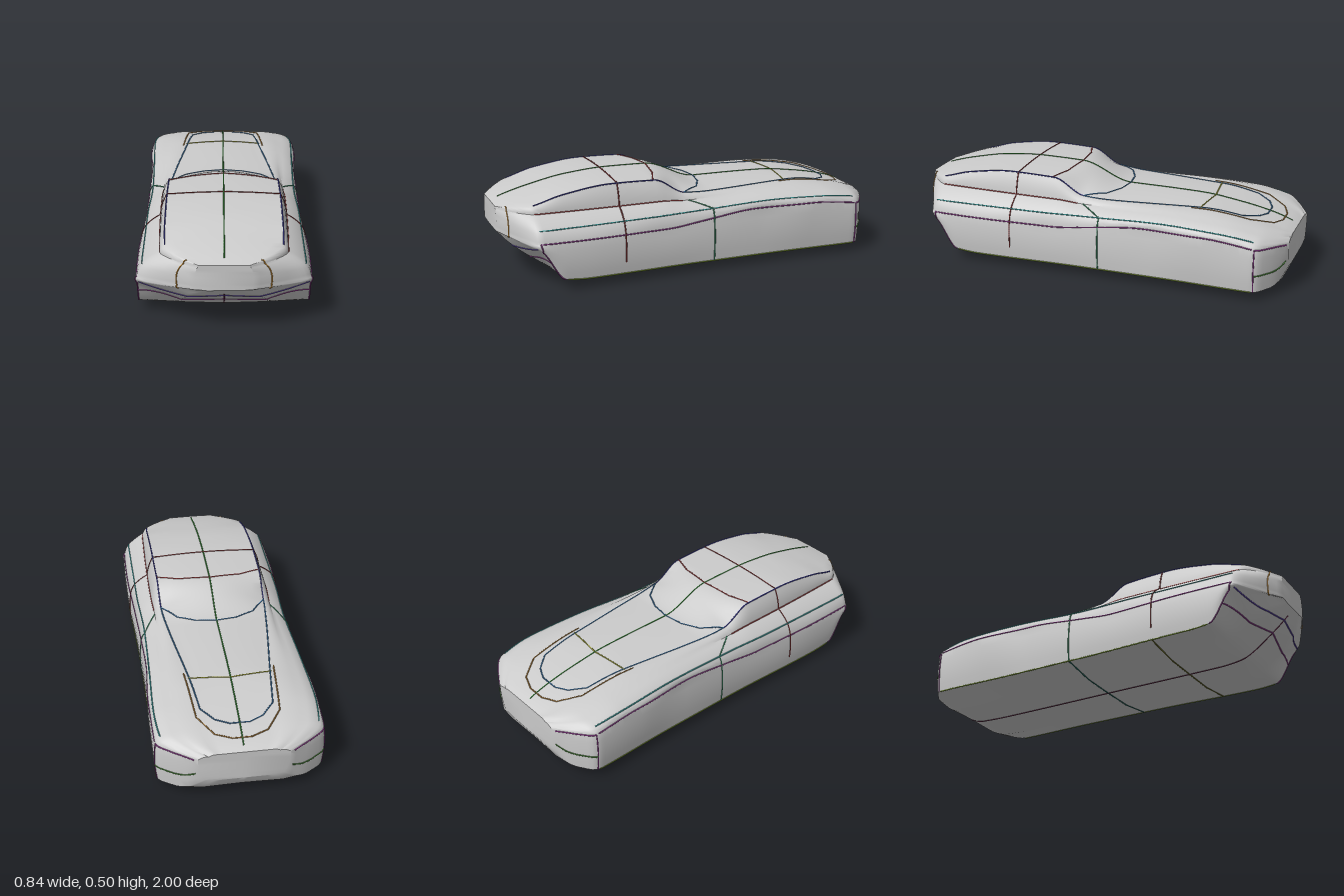
import * as THREE from 'three';
import { toCreasedNormals } from 'three/addons/utils/BufferGeometryUtils.js';

// Lengthwise rails of the left half, nose (-z) to tail (+z), as [z, x, y]
const floorCentre = [[-1, 0, .12], [-.96, 0, .05], [-.87, 0, .02], [-.7, 0, .015], [0, 0, .02], [.6, 0, .025],
  [.72, 0, .04], [.85, 0, .12], [.95, 0, .2], [1, 0, .25]];
const floorMid = [[-1, .13, .12], [-.96, .2, .045], [-.85, .2, .005], [-.75, .2, 0], [-.4, .2, .02], [.6, .2, .025],
  [.72, .2, .045], [.85, .2, .125], [.95, .15, .2], [1, .08, .25]];
const sill = [[-1, .19, .13], [-.96, .28, .06], [-.93, .33, .05], [-.875, .4, .05], [-.85, .405, .05], [-.4, .395, .05],
  [0, .395, .05], [.6, .41, .05], [.73, .41, .06], [.84, .408, .21], [.86, .4, .225], [.92, .29, .235], [1, .12, .255]];
const belt = [[-1, .22, .25], [-.96, .29, .26], [-.93, .34, .265], [-.875, .403, .27], [-.85, .408, .275], [-.6, .41, .3],
  [-.3, .392, .3], [0, .395, .27], [.2, .4, .25], [.6, .415, .25], [.84, .41, .25], [.86, .403, .25], [.92, .3, .255], [1, .13, .265]];
const shoulder = [[-1, .21, .265], [-.96, .28, .275], [-.93, .32, .285], [-.87, .38, .3], [-.7, .395, .325],
  [-.4, .385, .335], [0, .375, .32], [.3, .385, .315], [.84, .385, .31], [.92, .29, .32], [1, .13, .33]];
const deck = [[-1, .17, .272], [-.96, .23, .29], [-.87, .31, .32], [-.7, .33, .35], [-.4, .32, .365], [-.1, .31, .36],
  [.05, .31, .36], [.2, .315, .37], [.84, .3, .37], [.92, .24, .37], [1, .12, .37]];
const roofEdge = [[-1, .12, .278], [-.96, .15, .297], [-.8, .17, .345], [-.55, .2, .38], [-.1, .26, .382], [.06, .275, .393],
  [.22, .278, .474], [.45, .28, .48], [.7, .28, .45], [.85, .275, .408], [.92, .22, .395], [1, .11, .378]];
const crown = [[-1, 0, .28], [-.96, 0, .3], [-.85, 0, .335], [-.7, 0, .365], [-.5, 0, .39], [-.3, 0, .395], [-.1, 0, .397],
  [.17, 0, .488], [.4, 0, .492], [.6, 0, .478], [.8, 0, .44], [.93, 0, .405], [1, 0, .38]];
const rails = [floorCentre, floorMid, sill, belt, shoulder, deck, roofEdge, crown];
const BOW = [0, 0, .008, .004, .004, .006, 0]; // outward bulge of each span

// Monotone cubic through column k of a rail, so nothing overshoots
function along(rail, z, k) {
  const slope = i => (rail[i + 1][k] - rail[i][k]) / (rail[i + 1][0] - rail[i][0]);
  const tangent = i => {
    if (i === 0) return slope(0);
    if (i === rail.length - 1) return slope(i - 1);
    const a = slope(i - 1), b = slope(i);
    return a * b <= 0 ? 0 : 2 * a * b / (a + b);
  };
  let i = 0;
  while (i < rail.length - 2 && z > rail[i + 1][0]) i++;
  const h = rail[i + 1][0] - rail[i][0], t = (z - rail[i][0]) / h, s = 1 - t;
  return rail[i][k] * (1 + 2 * t) * s * s + rail[i + 1][k] * t * t * (3 - 2 * t)
    + h * t * s * (tangent(i) * s - tangent(i + 1) * t);
}

// Point on the skin: v counts rails from the floor centre (0) to the crown (7)
function skin(z, v, side = 1) {
  const i = Math.min(Math.floor(v), 6), u = v - i;
  const x0 = along(rails[i], z, 1), y0 = along(rails[i], z, 2);
  const dx = along(rails[i + 1], z, 1) - x0, dy = along(rails[i + 1], z, 2) - y0;
  const lift = i === 6 ? u * (2 - u) : u; // the crown arches level at the centre
  const bow = BOW[i] * 4 * u * (1 - u) / (Math.hypot(dx, dy) || 1);
  return new THREE.Vector3(side * (x0 + u * dx + bow * dy), y0 + lift * dy - bow * dx, z);
}

function bodyGeometry() {
  const PER = 5, HALF = 7 * PER, RING = 2 * HALF, STEPS = 130;
  const pos = [], index = [];
  const addRing = (z, squash) => {
    for (let j = 0; j < RING; j++) {
      const p = j <= HALF ? skin(z, j / PER) : skin(z, (RING - j) / PER, -1);
      pos.push(p.x * squash, p.y, z);
    }
  };
  addRing(-1, 0); // flat nose end
  for (let i = 0; i <= STEPS; i++) addRing(-1 + 2 * i / STEPS, 1);
  addRing(1, 0); // flat tail end
  for (let i = 0; i < STEPS + 2; i++) {
    for (let j = 0; j < RING; j++) {
      const a = i * RING + j, b = i * RING + (j + 1) % RING;
      index.push(a, b, b + RING, a, b + RING, a + RING);
    }
  }
  const g = new THREE.BufferGeometry();
  g.setAttribute('position', new THREE.Float32BufferAttribute(pos, 3));
  g.setIndex(index);
  return toCreasedNormals(g, 0.5);
}

export function createModel() {
  const model = new THREE.Group();
  const body = new THREE.Mesh(bodyGeometry(), new THREE.MeshStandardMaterial({ color: 0xcccccc }));
  body.name = 'carBody';
  model.add(body);

  // Thin styling line through [z, v] stops on the skin, on both sides unless central
  const line = (name, color, stops, central = false) => {
    const material = new THREE.MeshStandardMaterial({ color });
    for (const side of central ? [1] : [1, -1]) {
      const pts = [];
      for (let i = 0; i < stops.length - 1; i++) {
        const [z0, v0] = stops[i], [z1, v1] = stops[i + 1];
        for (let k = i ? 1 : 0; k <= 16; k++) {
          const t = k / 16;
          pts.push(skin(z0 + (z1 - z0) * t, v0 + (v1 - v0) * t, side));
        }
      }
      const tube = new THREE.TubeGeometry(new THREE.CatmullRomCurve3(pts), pts.length * 2, .0035, 5);
      const mesh = new THREE.Mesh(tube, material);
      mesh.name = name;
      model.add(mesh);
    }
  };

  // Lengthwise lines
  line('crownLine', 0x3a8a3a, [[-.97, 7], [-.1, 7], [.17, 7], [.96, 7]], true);
  line('floorCentreLine', 0x7a3558, [[-.95, 0], [0, 0], [.97, 0]], true);
  line('sillLine', 0x7f9a35, [[-.86, 2], [0, 2], [.72, 2]]);
  line('beltLine', 0x9a4a9a, [[-.86, 3], [0, 3], [.85, 3]]);
  line('shoulderLine', 0x45a5a5, [[-.86, 4], [0, 4], [.85, 4]]);
  line('windowBaseLine', 0xa04545, [[.08, 5], [.5, 5], [.85, 5]]);
  line('roofRailLine', 0x4545a0, [[.06, 6], [.22, 6], [.85, 6]]);

  // Windscreen, bonnet and roof
  line('windscreenBase', 0x3f75a5, [[.06, 6], [-.04, 6.25], [-.085, 6.6], [-.1, 7]]);
  line('windscreenTop', 0xa04545, [[.23, 6], [.19, 6.4], [.17, 7]]);
  line('bonnetSeam', 0x3f75a5, [[.06, 6], [-.4, 6], [-.75, 6], [-.82, 6.3], [-.85, 6.7], [-.85, 7]]);
  line('bonnetOuterSeam', 0xa57a3f, [[-.5, 5.85], [-.8, 5.8], [-.9, 6.2], [-.93, 6.7], [-.93, 7]]);
  line('bonnetCrossLine', 0xa5a53f, [[-.54, 5.95], [-.565, 7]]);

  // Crosswise lines
  line('rearCrossLine', 0x803535, [[.42, 2.3], [.42, 5], [.42, 7]]);
  line('doorFrontLine', 0x3f8a65, [[-.06, 2], [-.06, 4], [.05, 5]]);
  line('floorFrontCrossLine', 0x2f7a70, [[-.06, 0], [-.06, 2]]);
  line('floorRearCrossLine', 0x77772f, [[.42, 0], [.42, 2]]);

  // Tail and nose outlines
  line('tailPanelSide', 0xc08a3a, [[.96, 2], [.96, 4], [.96, 6]]);
  line('tailUpperLine', 0x6a50c0, [[.95, 0], [.93, 1], [.86, 2]]);
  line('tailLowerLine', 0xa84aa8, [[.885, 0], [.85, 1], [.8, 2]]);
  line('tailCornerLine', 0x8a3f8a, [[.85, 3], [.84, 2], [.73, 2]]);
  line('noseCornerLine', 0x8a3f8a, [[-.87, 2], [-.87, 3]]);
  line('noseUpperLine', 0xa84aa8, [[-.87, 3], [-.99, 3]]);
  line('noseLowerLine', 0x4f8a3f, [[-.87, 2.4], [-.99, 2.4]]);
  return model;
}
